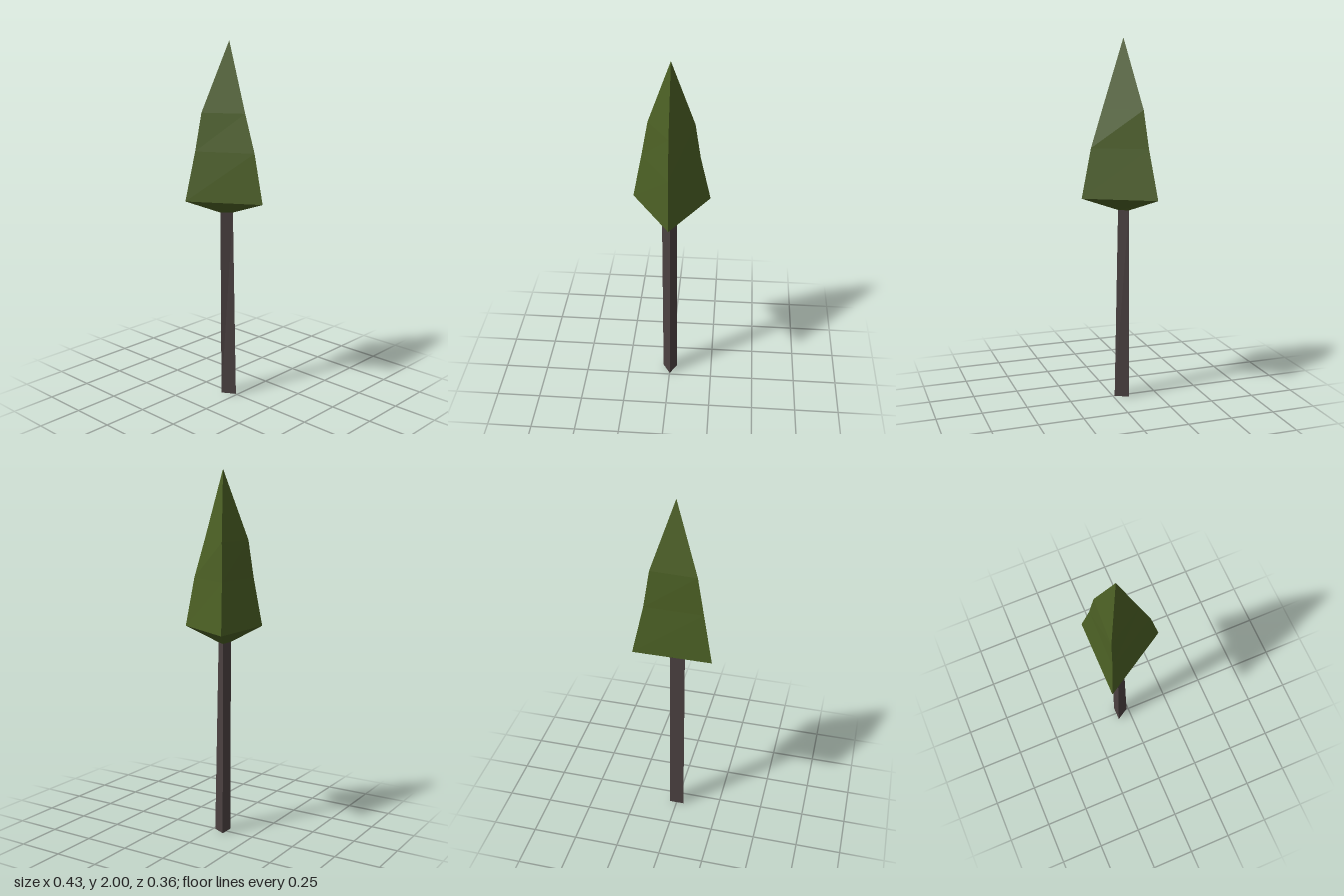
import * as THREE from 'three';

// Joins three-cornered rings [y, backLeft, front, backRight], listed bottom to top, into faceted walls.
function loft(rings, capBottom) {
  const pos = [];
  const corner = (r, i) => {
    const [x, z] = rings[r][1 + (i % 3)];
    return [x, rings[r][0], z];
  };
  const tri = (a, b, c) => pos.push(...a, ...b, ...c);
  for (let r = 0; r < rings.length - 1; r++) {
    for (let i = 0; i < 3; i++) {
      tri(corner(r, i), corner(r, i + 1), corner(r + 1, i + 1));
      tri(corner(r, i), corner(r + 1, i + 1), corner(r + 1, i));
    }
  }
  if (capBottom) tri(corner(0, 0), corner(0, 2), corner(0, 1));
  const g = new THREE.BufferGeometry();
  g.setAttribute('position', new THREE.Float32BufferAttribute(pos, 3));
  g.computeVertexNormals();
  return g;
}

export function createModel() {
  const leaf = new THREE.MeshStandardMaterial({ color: 0x4b5f24, flatShading: true });
  leaf.name = 'leafGreen';
  const bark = new THREE.MeshStandardMaterial({ color: 0x4b4141, flatShading: true });
  bark.name = 'barkBrown';

  // slender three-sided trunk, tapering slightly
  const trunk = new THREE.Mesh(loft([
    [0, [-0.042, -0.083], [0.002, -0.01], [0.04, -0.083]],
    [1.08, [-0.047, -0.08], [0, -0.03], [0.035, -0.08]],
  ], true), bark);
  trunk.name = 'trunk';

  // three-sided crown: sloped underside, bulging sides, pointed tip
  const tip = [0.003, -0.058];
  const crown = new THREE.Mesh(loft([
    [1.075, [-0.047, -0.08], [0, -0.03], [0.035, -0.08]],
    [1.15, [-0.215, -0.18], [0.008, 0.18], [0.215, -0.18]],
    [1.42, [-0.163, -0.153], [0.003, 0.125], [0.157, -0.148]],
    [1.625, [-0.126, -0.14], [0, 0.06], [0.127, -0.128]],
    [2, tip, tip, tip],
  ], true), leaf);
  crown.name = 'crown';

  const tree = new THREE.Group();
  tree.name = 'tree';
  tree.add(trunk, crown);
  return tree;
}
